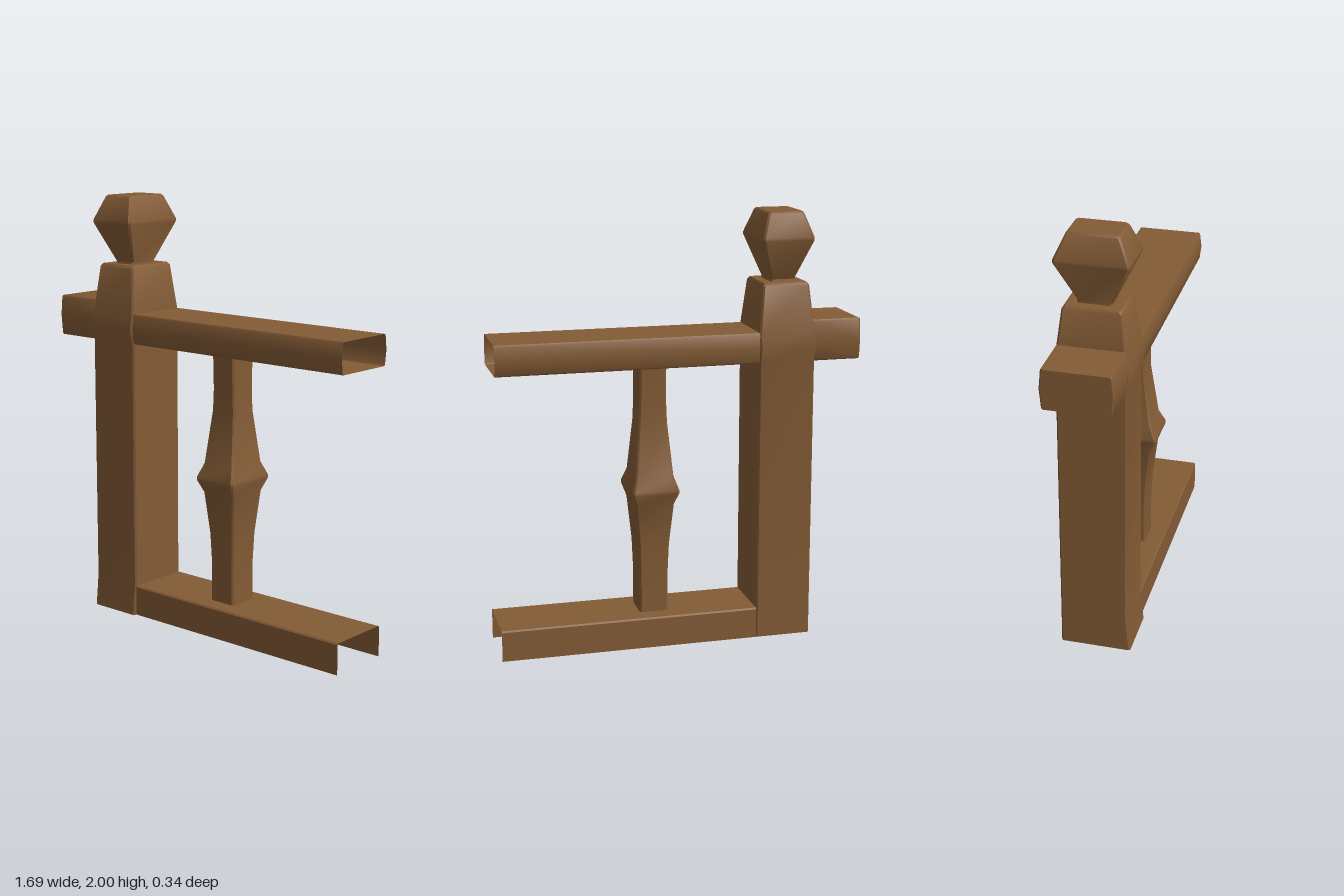
import * as THREE from 'three';
import { toCreasedNormals } from 'three/addons/utils/BufferGeometryUtils.js';

// Skin a list of equal-length rings; optional end caps, optional open section
function loft(rings, { start = false, end = false, closed = true } = {}) {
  const pos = [];
  const tri = (...pts) => pts.forEach((p) => pos.push(p.x, p.y, p.z));
  const n = rings[0].length;
  for (let r = 0; r < rings.length - 1; r++) {
    for (let i = 0; i < (closed ? n : n - 1); i++) {
      const j = (i + 1) % n, a = rings[r], b = rings[r + 1];
      tri(a[i], b[i], a[j]);
      tri(b[i], b[j], a[j]);
    }
  }
  const cap = (ring, flip) => {
    for (let i = 1; i < n - 1; i++) {
      if (flip) tri(ring[0], ring[i + 1], ring[i]);
      else tri(ring[0], ring[i], ring[i + 1]);
    }
  };
  if (start) cap(rings[0], false);
  if (end) cap(rings[rings.length - 1], true);
  const geometry = new THREE.BufferGeometry();
  geometry.setAttribute('position', new THREE.Float32BufferAttribute(pos, 3));
  return toCreasedNormals(geometry, 0.6);
}

// Horizontal rectangle with small chamfered corners
function rectRing(cx, y, hx, front, back, c = 0.008) {
  return [
    [hx, front - c], [hx - c, front], [-hx + c, front], [-hx, front - c],
    [-hx, -back + c], [-hx + c, -back], [hx - c, -back], [hx, -back + c],
  ].map(([x, z]) => new THREE.Vector3(cx + x, y, z));
}

// Rows are [y, half width, front depth, back depth]
const column = (cx, rows, caps) =>
  loft(rows.map(([y, hx, f, b = f]) => rectRing(cx, y, hx, f, b)), caps);

// Section points [z, y] swept along x; stations are [x, scale about the section middle]
const sweep = (section, midY, stations, options) =>
  loft(stations.map(([x, s]) => section.map(([z, y]) =>
    new THREE.Vector3(x, midY + (y - midY) * s, z * s))), options);

// Rail section with slightly bulged sides and softened top edges
const railSection = (bottom, top) => {
  const mid = (bottom + top) / 2;
  const half = [[0.147, bottom], [0.152, bottom + 0.008], [0.16, mid], [0.152, top - 0.008], [0.147, top]];
  return [...half, ...half.map(([z, y]) => [-z, y]).reverse()];
};

export function createModel() {
  const wood = new THREE.MeshStandardMaterial({ color: 0x835b35, side: THREE.DoubleSide });
  const group = new THREE.Group();
  const add = (name, geometry) => {
    const mesh = new THREE.Mesh(geometry, wood);
    mesh.name = name;
    group.add(mesh);
  };

  // Newel post, hollow underneath, with a flared front foot and a collar at rail height
  add('newelPost', column(-0.493, [
    [0, 0.132, 0.17, 0.154],
    [0.15, 0.132, 0.155, 0.154],
    [1.32, 0.132, 0.155],
    [1.39, 0.132, 0.17],
    [1.46, 0.131, 0.156],
    [1.668, 0.109, 0.13],
    [1.68, 0.1, 0.12],
  ], { end: true }));

  // Faceted finial
  add('finial', column(-0.493, [
    [1.675, 0.058, 0.078],
    [1.69, 0.056, 0.075],
    [1.872, 0.12, 0.162],
    [1.886, 0.12, 0.162],
    [1.992, 0.084, 0.115],
    [2, 0.077, 0.106],
  ], { start: true, end: true }));

  // Handrail, open at its far end, and the closed stub behind the post
  add('handrail', sweep(railSection(1.32, 1.46), 1.39, [[-0.37, 1], [0.845, 1]]));
  add('handrailStub', sweep(railSection(1.32, 1.51), 1.415,
    [[-0.845, 0.96], [-0.838, 1], [-0.615, 1]], { start: true }));

  // Bottom rail: a channel open below and at its end
  add('bottomRail', sweep(
    [[0.154, 0], [0.154, 0.138], [0.147, 0.145], [-0.147, 0.145], [-0.154, 0.138], [-0.154, 0]],
    0, [[-0.361, 1], [0.845, 1]], { closed: false }));

  // Turned square baluster
  add('baluster', column(0.115, [
    [0.147, 0.067, 0.075],
    [0.32, 0.067, 0.074],
    [0.47, 0.072, 0.081],
    [0.67, 0.09, 0.103],
    [0.728, 0.109, 0.132],
    [0.742, 0.109, 0.132],
    [0.805, 0.088, 0.102],
    [1.05, 0.067, 0.068],
    [1.15, 0.063, 0.067],
    [1.32, 0.063, 0.072],
  ]));

  return group;
}
